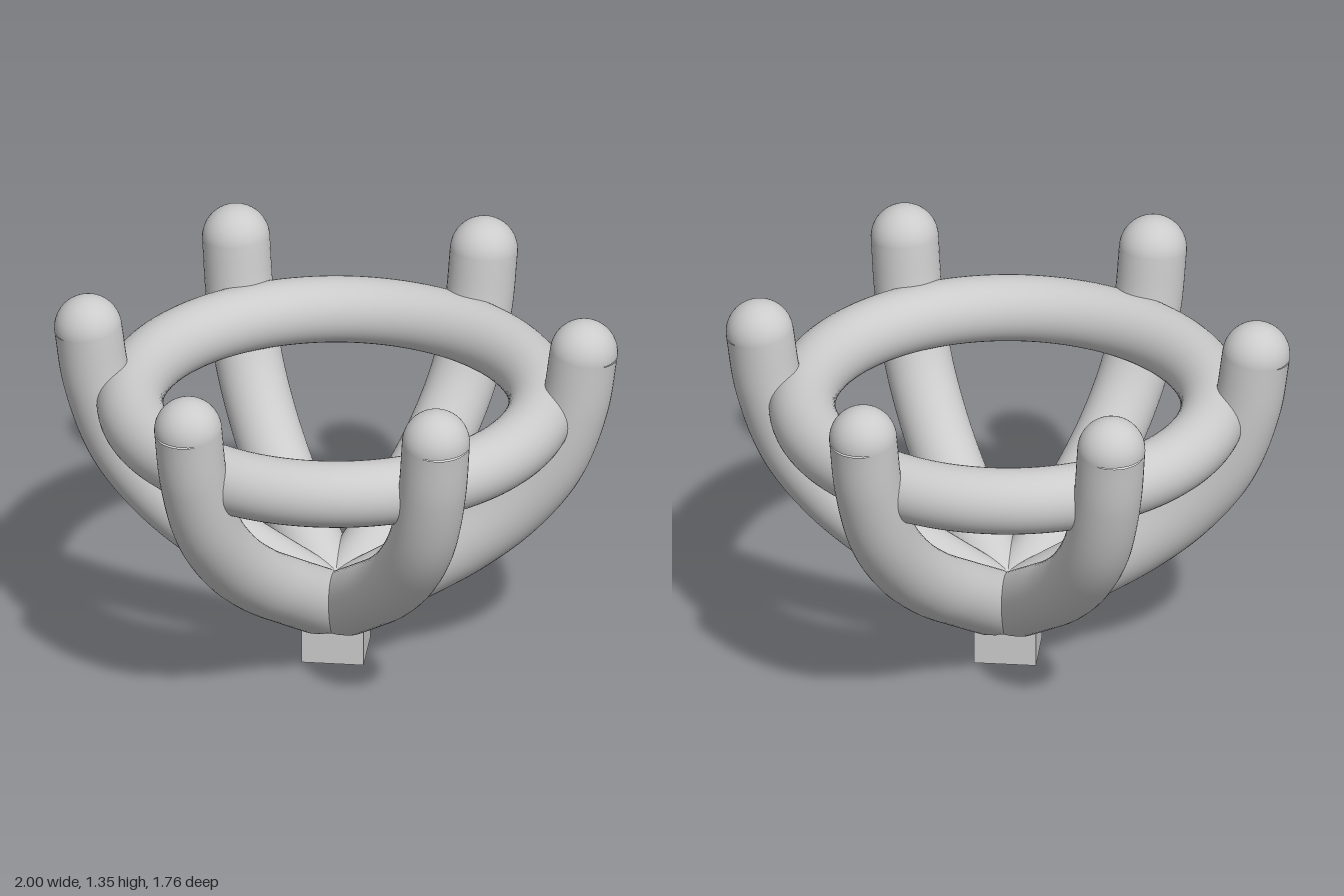
import * as THREE from 'three';
import { toCreasedNormals } from 'three/addons/utils/BufferGeometryUtils.js';

const PRONGS = 6;
const RADIUS = 0.12;
const BASE_TOP = 0.135;
const TIP = [0.88, 1.225];

// Curved prong: a bent tube with its foot cut flat on the base
function prongGeometry() {
  const profile = [[0, 0.17], [0.1, 0.234], [0.28, 0.346], [0.46, 0.463], [0.63, 0.61], [0.765, 0.79], [0.848, 1.02], TIP];
  const curve = new THREE.CatmullRomCurve3(profile.map(([r, y]) => new THREE.Vector3(r, y, 0)));
  const geometry = new THREE.TubeGeometry(curve, 80, RADIUS, 40);
  const position = geometry.attributes.position;
  for (let i = 0; i < position.count; i++) {
    position.setY(i, Math.max(position.getY(i), BASE_TOP));
  }
  return toCreasedNormals(geometry, 0.6);
}

export function createModel() {
  const model = new THREE.Group();
  model.name = 'prongSetting';
  const material = new THREE.MeshStandardMaterial({ color: 0xcccccc });
  const add = (parent, name, geometry, x = 0, y = 0, z = 0) => {
    const mesh = new THREE.Mesh(geometry, material);
    mesh.name = name;
    mesh.position.set(x, y, z);
    parent.add(mesh);
    return mesh;
  };

  // Square stub under the prongs
  add(model, 'base', new THREE.BoxGeometry(0.22, BASE_TOP + 0.03, 0.22), 0, (BASE_TOP + 0.03) / 2, 0);

  // Horizontal ring tying the prongs together
  const ring = add(model, 'ring', new THREE.TorusGeometry(0.727, 0.118, 40, 120), 0, 0.98, 0);
  ring.rotation.x = Math.PI / 2;

  // Six prongs with rounded tips
  const arm = prongGeometry();
  const cap = new THREE.SphereGeometry(RADIUS, 40, 16, 0, Math.PI * 2, 0, Math.PI / 2 + 0.1);
  for (let i = 0; i < PRONGS; i++) {
    const prong = new THREE.Group();
    prong.name = `prong${i + 1}`;
    add(prong, 'prongArm', arm);
    add(prong, 'prongTip', cap, TIP[0], TIP[1], 0);
    prong.rotation.y = (i / PRONGS) * Math.PI * 2;
    model.add(prong);
  }
  return model;
}
